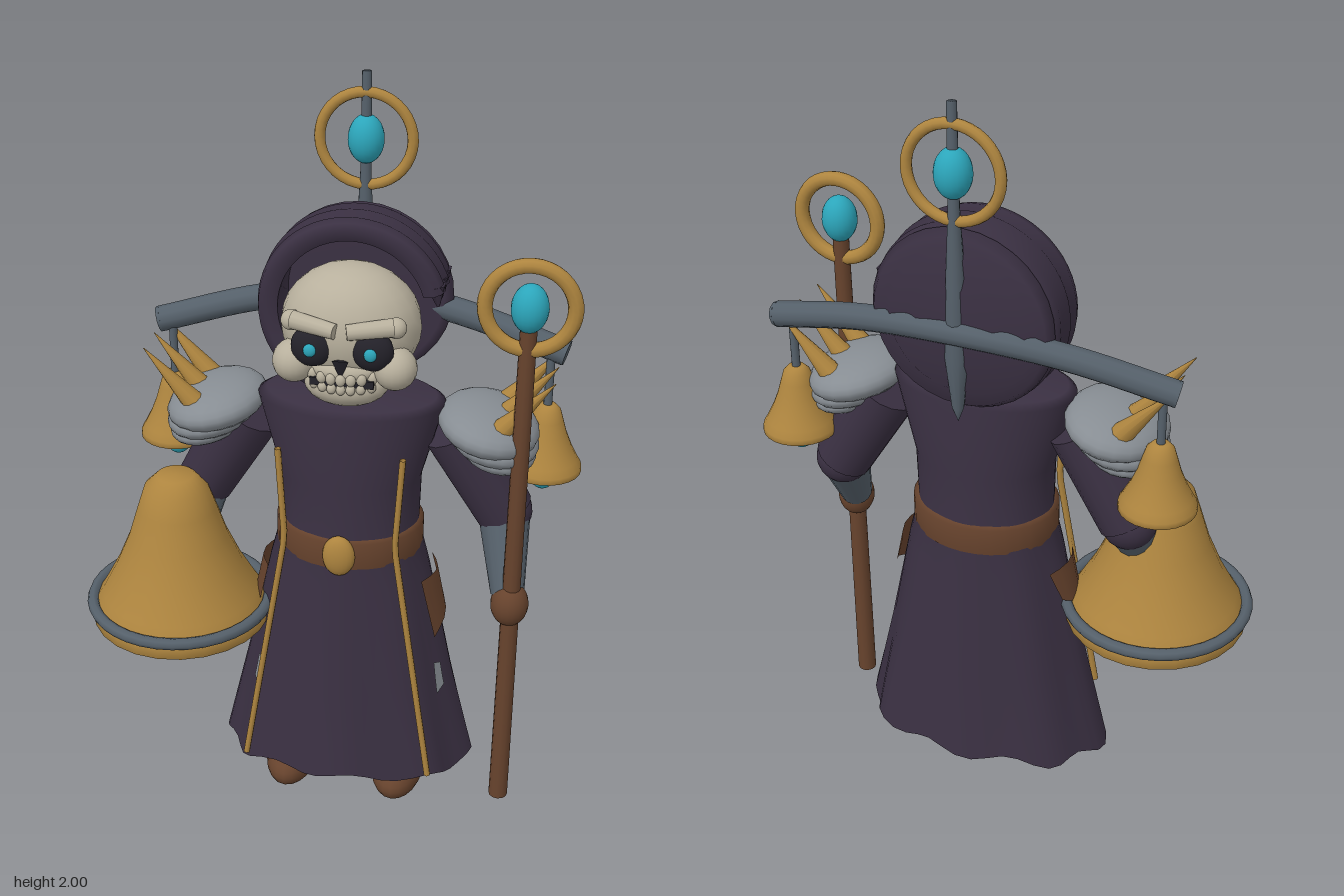
import * as THREE from 'three';

const CX = 0.058; // body axis
const CZ = -0.047;

export function createModel() {
  const root = new THREE.Group();
  root.name = 'bellKeeper';
  const mat = (name, color, double) => {
    const m = new THREE.MeshStandardMaterial({ color });
    m.name = name;
    if (double) m.side = THREE.DoubleSide;
    return m;
  };
  const cloth = mat('darkCloth', 0x3a3042, true);
  const bone = mat('bone', 0xb8b09d);
  const gold = mat('gold', 0xae853f, true);
  const steel = mat('darkSteel', 0x55606a, true);
  const silver = mat('paleSteel', 0x878d93, true);
  const leather = mat('brownLeather', 0x67432d, true);
  const gem = mat('cyanGem', 0x2ca6bb);
  const dark = mat('socketDark', 0x24222a);

  const V = (x, y, z) => new THREE.Vector3(x, y, z);
  const add = (name, geo, m, x = 0, y = 0, z = 0) => {
    const mesh = new THREE.Mesh(geo, m);
    mesh.name = name;
    mesh.position.set(x, y, z);
    root.add(mesh);
    return mesh;
  };
  const ball = (name, m, x, y, z, rx, ry = rx, rz = rx) => {
    const mesh = add(name, new THREE.SphereGeometry(1, 20, 14), m, x, y, z);
    mesh.scale.set(rx, ry, rz);
    return mesh;
  };
  // tapered rod from a (radius ra) to b (radius rb)
  const rod = (name, m, a, b, ra, rb = ra, sides = 12) => {
    const d = b.clone().sub(a);
    const mesh = add(name, new THREE.CylinderGeometry(rb, ra, d.length(), sides), m);
    mesh.position.copy(a).addScaledVector(d, 0.5);
    mesh.quaternion.setFromUnitVectors(V(0, 1, 0), d.normalize());
    return mesh;
  };
  const lathe = (pts, seg = 24, start = 0, len = Math.PI * 2) =>
    new THREE.LatheGeometry(pts.map(p => new THREE.Vector2(p[0], p[1])), seg, start, len);
  const sheet = (nu, nv, at) => {
    const pos = [], idx = [];
    for (let j = 0; j <= nv; j++) for (let i = 0; i <= nu; i++) pos.push(...at(i / nu, j / nv));
    for (let j = 0; j < nv; j++) for (let i = 0; i < nu; i++) {
      const a = j * (nu + 1) + i, b = a + nu + 1;
      idx.push(a, b, a + 1, a + 1, b, b + 1);
    }
    const g = new THREE.BufferGeometry();
    g.setAttribute('position', new THREE.Float32BufferAttribute(pos, 3));
    g.setIndex(idx);
    g.computeVertexNormals();
    return g;
  };

  // Robe: rows of [height, half width, half depth], with folds growing to the hem
  const rows = [[0.13, 0.345, 0.233], [0.4, 0.28, 0.203], [0.72, 0.215, 0.174], [0.85, 0.183, 0.157],
    [1.0, 0.187, 0.152], [1.21, 0.243, 0.147], [1.225, 0.22, 0.13], [1.24, 0.001, 0.001]];
  const robeAt = (t, y, out = 0) => {
    let k = 0;
    while (k < rows.length - 2 && y > rows[k + 1][0]) k++;
    const [y0, a0, b0] = rows[k], [y1, a1, b1] = rows[k + 1];
    const f = (y - y0) / (y1 - y0);
    const fold = 1 + 0.04 * Math.max(0, 1 - y) * Math.cos(8 * t);
    return [CX + Math.cos(t) * ((a0 + (a1 - a0) * f) * fold + out), y,
      CZ + Math.sin(t) * ((b0 + (b1 - b0) * f) * fold + out)];
  };
  const hemAt = t => {
    const p = robeAt(t, rows[0][0]);
    p[1] += 0.012 * Math.sin(9 * t + 1) - 0.018 * Math.cos(2 * t);
    return p;
  };
  add('robe', sheet(48, rows.length - 1, (u, v) => {
    const t = -u * Math.PI * 2, k = Math.round(v * (rows.length - 1));
    return k ? robeAt(t, rows[k][0]) : hemAt(t);
  }), cloth);
  // closed underside just inside the hem
  add('robeUnderside', sheet(48, 1, (u, v) => {
    const p = hemAt(-u * Math.PI * 2);
    return v ? p : [CX, 0.16, CZ];
  }), cloth);

  // Belt and buckle
  const belt = [[0.185, 0.78], [0.197, 0.785], [0.197, 0.86], [0.18, 0.868]];
  add('belt', lathe(belt, 32), leather, CX, 0, CZ).scale.z = 0.85;
  ball('buckle', gold, CX, 0.825, 0.12, 0.043, 0.058, 0.025);

  // Patch lying on the robe, corners given as [degrees, height]
  const patch = (name, m, s, out, c) => add(name, sheet(5, 4, (u, v) => {
    const mix = i => (c[0][i] * (1 - u) + c[1][i] * u) * (1 - v) + (c[3][i] * (1 - u) + c[2][i] * u) * v;
    const t = mix(0) * Math.PI / 180;
    return robeAt(s > 0 ? t : Math.PI - t, mix(1), out);
  }), m);

  // Bell from rim to crown, scaled to radius r and height h
  const bell = (name, x, y, z, r, h) => add(name, lathe([[0, 0.02], [0.9, 0], [0.97, 0.02], [0.96, 0.1], [0.85, 0.2],
    [0.68, 0.38], [0.53, 0.58], [0.42, 0.78], [0.34, 0.92], [0.2, 1], [0, 1]].map(p => [p[0] * r, p[1] * h])), gold, x, y, z);
  // Ring around a gem
  const ringGem = (name, x, y, z, R, tube) => {
    add(name + 'Ring', new THREE.TorusGeometry(R, tube, 10, 36), gold, x, y, z);
    ball(name + 'Gem', gem, x, y, z, 0.046, 0.062, 0.046);
  };

  for (const s of [1, -1]) {
    const X = d => CX + s * d;
    const side = s > 0 ? 'left' : 'right';
    patch(side + 'HipPatch', leather, s, 0.02, [[27, 0.72], [-25, 0.71], [-17, 0.62], [22, 0.54]]);
    const g = s > 0 ? 20 : 38;
    patch(side + 'SmallPatch', silver, s, 0.01, [[g + 4, 0.46], [g - 3, 0.45], [g - 3, 0.38], [g + 6, 0.365]]);

    // Gold robe trim
    const trim = new THREE.CurvePath();
    const tp = [V(X(0.16), 1.12, 0.11), V(X(0.145), 0.86, 0.112), V(X(0.255), 0.16, 0.143)];
    trim.add(new THREE.LineCurve3(tp[0], tp[1]));
    trim.add(new THREE.LineCurve3(tp[1], tp[2]));
    add(side + 'Trim', new THREE.TubeGeometry(trim, 24, 0.009, 6), gold);

    // Boot and ankle
    ball(side + 'Boot', leather, X(0.153), 0.068, 0, 0.073, 0.068, 0.135);
    rod(side + 'Ankle', steel, V(X(0.15), 0.08, -0.05), V(X(0.145), 0.2, -0.05), 0.055, 0.06);

    // Arm
    const shoulder = V(X(0.27), 1.14, -0.06), elbow = V(X(0.405), 0.9, -0.075), wrist = V(X(0.435), 0.71, 0.035);
    rod(side + 'Sleeve', cloth, shoulder, elbow, 0.09, 0.078, 16);
    ball(side + 'Elbow', cloth, elbow.x, elbow.y, elbow.z, 0.074);
    rod(side + 'Forearm', steel, elbow, wrist, 0.07, 0.044, 16);
    ball(side + 'Hand', leather, X(0.443), 0.69, 0.05, 0.05, 0.062, 0.052);

    // Layered pauldron
    [[0.355, 1.165, 0.132, 0.06, 0.157], [0.37, 1.13, 0.118, 0.05, 0.142], [0.382, 1.1, 0.1, 0.042, 0.125]]
      .forEach(([d, y, rx, ry, rz], i) => {
        ball(side + 'Pauldron' + i, silver, X(d), y, -0.045, rx, ry, rz).rotation.z = -s * 0.2;
      });
    for (const z of [0.045, -0.05, -0.145])
      rod(side + 'Spike', gold, V(X(0.395), 1.19, z * 0.9 - 0.004), V(X(0.52), 1.335, z), 0.03, 0.001, 10);

    // Hanging bell
    rod(side + 'Hanger', steel, V(X(0.495), 1.17, -0.135), V(X(0.495), 1.34, -0.135), 0.011);
    bell(side + 'SmallBell', X(0.495), 1.0, -0.135, 0.102, 0.19);
    ball(side + 'SmallClapper', gem, X(0.495), 0.982, -0.135, 0.034, 0.038, 0.034);

    // Face halves
    ball(side + 'Cheek', bone, X(0.127), 1.345, 0.055, 0.055, 0.055, 0.058);
    ball(side + 'EyeSocket', dark, X(0.075), 1.402, 0.088, 0.053, 0.053, 0.032);
    ball(side + 'EyeGlow', gem, X(0.075), 1.403, 0.119, 0.016, 0.017, 0.01);
    rod(side + 'Brow', bone, V(X(0.014), 1.454, 0.11), V(X(0.125), 1.464, 0.08), 0.02, 0.024);
    ball(side + 'BrowEnd', bone, X(0.13), 1.46, 0.072, 0.026);
  }

  // Skull
  ball('cranium', bone, CX, 1.418, -0.035, 0.178, 0.157, 0.145);
  ball('jaw', bone, CX, 1.283, 0.025, 0.108, 0.058, 0.078);
  ball('upperJaw', bone, CX, 1.335, 0.05, 0.09, 0.035, 0.06);
  const nose = add('noseHole', new THREE.ConeGeometry(0.024, 0.05, 3), dark, CX, 1.352, 0.108);
  nose.rotation.y = Math.PI;
  nose.scale.z = 0.4;
  nose.rotation.z = Math.PI;
  add('mouthGap', new THREE.BoxGeometry(0.16, 0.02, 0.03), dark, CX, 1.311, 0.082);
  for (let i = -3; i <= 3; i++) {
    const z = 0.108 - 0.003 * i * i;
    ball('upperTooth', bone, CX + i * 0.025, 1.324, z, 0.013, 0.016, 0.011);
    ball('lowerTooth', bone, CX + i * 0.024, 1.297, z - 0.003, 0.012, 0.014, 0.011);
  }

  // Hood: ridged broken band and closed back
  const band = [[0.188, -0.03], [0.215, -0.015], [0.236, -0.025], [0.243, -0.05], [0.234, -0.075], [0.246, -0.1],
    [0.237, -0.13], [0.242, -0.155], [0.23, -0.185], [0.19, -0.185], [0.188, -0.03]];
  const hood = lathe(band, 36, 1.87, 4.05);
  hood.rotateX(Math.PI / 2);
  add('hoodBand', hood, cloth, CX, 1.445, 0);
  const back = lathe([[0, -0.165], [0.215, -0.165], [0.238, -0.18], [0.222, -0.205], [0.195, -0.2], [0.175, -0.218],
    [0.13, -0.216], [0.1, -0.23], [0, -0.232]], 32);
  back.rotateX(Math.PI / 2);
  add('hoodBack', back, cloth, CX, 1.445, 0);
  // torn tips where the band breaks off
  for (const z of [-0.045, -0.1, -0.155])
    rod('hoodTatter', cloth, V(CX + 0.208, 1.53, z), V(CX + 0.215, 1.475, z), 0.026, 0.004, 6);

  // Yoke beam and mast behind the head
  const beam = new THREE.CatmullRomCurve3([V(CX - 0.53, 1.335, -0.14), V(CX - 0.27, 1.4, -0.185),
    V(CX, 1.43, -0.22), V(CX + 0.27, 1.4, -0.185), V(CX + 0.53, 1.335, -0.14)]);
  add('yokeBeam', new THREE.TubeGeometry(beam, 32, 0.034, 10), steel);
  for (const t of [0, 1]) {
    const p = beam.getPoint(t), d = beam.getTangent(t).multiplyScalar(0.004);
    rod('beamCap', steel, p.clone().sub(d), p.clone().add(d), 0.034, 0.034, 10);
  }
  add('mast', lathe([[0, 1.18], [0.015, 1.22], [0.03, 1.36], [0.024, 1.55], [0.014, 1.75], [0.012, 2], [0, 2]], 12), steel, CX, 0, -0.215);
  ringGem('mast', CX, 1.832, -0.215, 0.117, 0.014);

  // Staff in the left hand
  rod('staff', leather, V(0.504, 0.055, 0.055), V(0.504, 1.49, 0.055), 0.026, 0.021);
  ringGem('staff', 0.504, 1.532, 0.055, 0.108, 0.019);

  // Great bell in the right hand
  bell('greatBell', -0.398, 0.535, 0.035, 0.25, 0.435);
  const rim = add('greatBellRim', new THREE.TorusGeometry(0.241, 0.016, 8, 36), steel, -0.398, 0.593, 0.035);
  rim.rotation.x = Math.PI / 2;
  ball('greatClapper', gem, -0.398, 0.502, 0.035, 0.05, 0.065, 0.05);

  return root;
}
